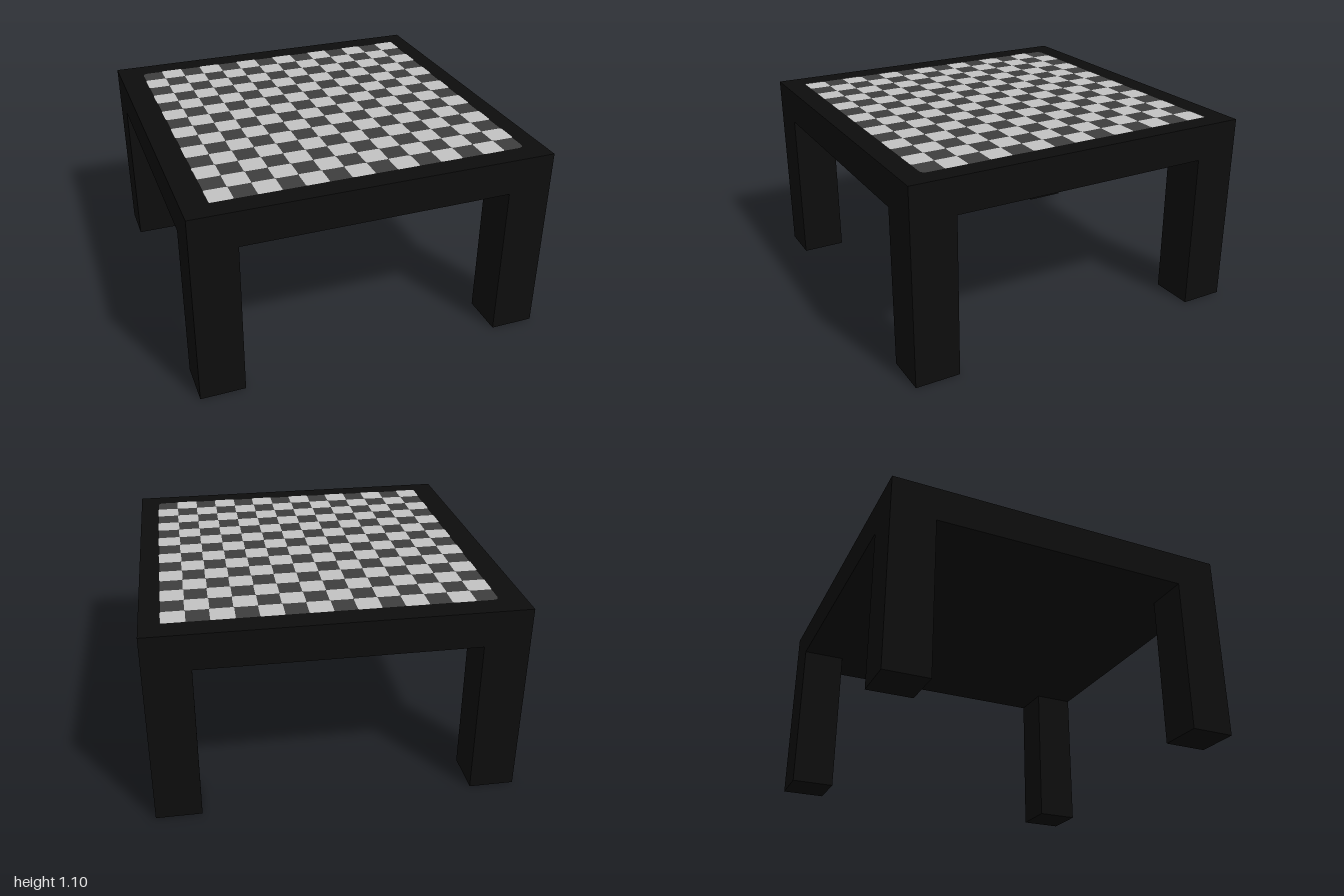
import * as THREE from 'three';

const material = (name, color) => Object.assign(new THREE.MeshStandardMaterial({ color }), { name });

// Flat rounded square lying in the xz plane, facing up
function roundedSquare(size, r) {
  const h = size / 2, s = new THREE.Shape();
  s.moveTo(-h + r, -h);
  s.lineTo(h - r, -h).quadraticCurveTo(h, -h, h, -h + r);
  s.lineTo(h, h - r).quadraticCurveTo(h, h, h - r, h);
  s.lineTo(-h + r, h).quadraticCurveTo(-h, h, -h, h - r);
  s.lineTo(-h, -h + r).quadraticCurveTo(-h, -h, -h + r, -h);
  return new THREE.ShapeGeometry(s, 4).rotateX(-Math.PI / 2);
}

export function createModel() {
  const table = new THREE.Group();
  table.name = 'table';
  const black = material('black', 0x0d0d0d);
  const darkGrey = material('darkGrey', 0x3e3e3e);
  const lightGrey = material('lightGrey', 0xc2c2c2);

  const add = (parent, name, geometry, mat, x, y, z) => {
    const mesh = new THREE.Mesh(geometry, mat);
    mesh.name = name;
    mesh.position.set(x, y, z);
    parent.add(mesh);
  };

  // Thick square top on four square corner legs
  add(table, 'tableTop', new THREE.BoxGeometry(2, 0.2, 2), black, 0, 1, 0);
  const leg = new THREE.BoxGeometry(0.25, 0.9, 0.25);
  for (const [sx, side] of [[1, 'Left'], [-1, 'Right']]) {
    for (const [sz, end] of [[1, 'front'], [-1, 'back']]) {
      add(table, `${end}${side}Leg`, leg, black, sx * 0.875, 0.45, sz * 0.875);
    }
  }

  // Checked inlay: a dark sheet with light squares on alternate cells
  const inlay = new THREE.Group();
  inlay.name = 'checkedInlay';
  inlay.position.set(0.016, 1.1, 0.006);
  table.add(inlay);
  const count = 14, cell = 0.125, start = -(count - 1) * cell / 2;
  add(inlay, 'darkSheet', roundedSquare(count * cell - 0.004, 0.035), darkGrey, 0, 0.0015, 0);
  const square = roundedSquare(cell + 0.003, 0.012);
  for (let row = 0; row < count; row++) {
    for (let col = 0; col < count; col++) {
      if ((row + col) % 2 === 0) continue;
      add(inlay, 'lightSquare', square, lightGrey, start + col * cell, 0.003, start + row * cell);
    }
  }
  return table;
}
